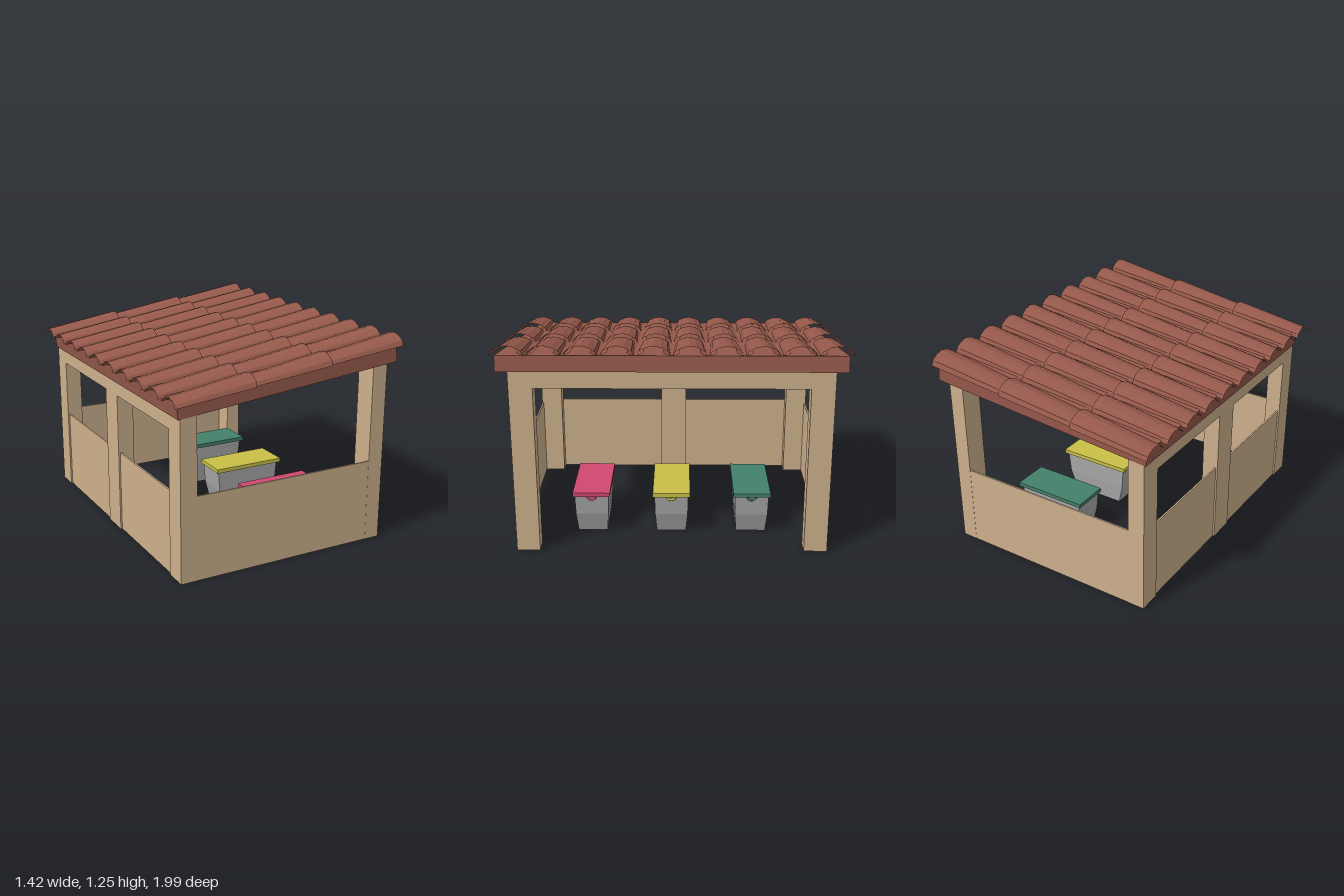
import * as THREE from 'three';

const mat = (name, color, side = THREE.FrontSide) => {
  const m = new THREE.MeshStandardMaterial({ color, side });
  m.name = name;
  return m;
};

// Roof lines: both rise towards +x
const underRoof = (x) => 0.935 + (x + 0.66) * 0.119;
const roofTop = (x) => 1.026 + (x + 0.67) * 0.119;

// Faceted skin over rings of equal length; optional caps and closed rings
function loft(rings, closed, caps) {
  const n = rings[0].length;
  const index = [];
  for (let r = 0; r < rings.length - 1; r++) {
    for (let i = 0; i < (closed ? n : n - 1); i++) {
      const a = r * n + i, b = r * n + (i + 1) % n;
      index.push(a, b, b + n, a, b + n, a + n);
    }
  }
  if (caps) {
    const last = (rings.length - 1) * n;
    for (let i = 1; i < n - 1; i++) {
      index.push(0, i + 1, i, last, last + i, last + i + 1);
    }
  }
  const g = new THREE.BufferGeometry();
  g.setAttribute('position', new THREE.Float32BufferAttribute(rings.flat(2), 3));
  g.setIndex(index);
  const flat = g.toNonIndexed();
  flat.computeVertexNormals();
  return flat;
}

// Horizontal rectangle ring, ordered so that stacked rings face outwards
const rect = (x0, x1, z0, z1, yAt) =>
  [[x0, z1], [x1, z1], [x1, z0], [x0, z0]].map(([x, z]) => [x, yAt(x), z]);

export function createModel() {
  const wood = mat('wood', 0xcdb08c);
  const clay = mat('roof clay', 0x96594b);
  const tileClay = clay.clone();
  tileClay.side = THREE.DoubleSide;
  const grey = mat('bin grey', 0xa8a8a8);
  const lids = [mat('lid pink', 0xd0496f), mat('lid yellow', 0xc9c048), mat('lid green', 0x43806a)];

  const model = new THREE.Group();
  model.name = 'binShelter';
  const add = (name, geometry, material, parent = model) => {
    const m = new THREE.Mesh(geometry, material);
    m.name = name;
    parent.add(m);
    return m;
  };
  const block = (name, x0, x1, z0, z1, y0, top) =>
    add(name, loft([rect(x0, x1, z0, z1, () => y0), rect(x0, x1, z0, z1, top)], true, true), wood);

  // Timber frame
  for (const s of [-1, 1]) {
    const [z0, z1] = s > 0 ? [0.77, 0.905] : [-0.905, -0.77];
    block('tallPost', 0.575, 0.67, z0, z1, 0, underRoof);
    block('shortPost', -0.65, -0.55, z0, z1, 0, underRoof);
    // Low panels at the sides and along the low edge
    const zw = s * 0.899;
    block('sidePanel', -0.55, 0.575, zw - 0.005, zw + 0.005, 0, () => 0.495);
    const [p0, p1] = s > 0 ? [0.085, 0.77] : [-0.77, -0.085];
    block('backPanel', -0.64, -0.63, p0, p1, 0, () => 0.495);
  }
  block('middlePost', -0.65, -0.55, -0.085, 0.085, 0, () => 0.85);
  block('lowBeam', -0.65, -0.55, -0.77, 0.77, 0.85, underRoof);
  block('highBeam', 0.575, 0.67, -0.77, 0.77, 0.995, underRoof);

  // Tapered roof slab
  const slabRing = (x0, x1, yAt) => [
    [x0, yAt(x0), 0.905], [x1, yAt(x1), 0.97], [x1, yAt(x1), -0.97], [x0, yAt(x0), -0.905],
  ];
  add('roofSlab', loft([slabRing(-0.66, 0.685, underRoof), slabRing(-0.67, 0.675, roofTop)], true, true), clay);

  // Arched cover tiles, wider and taller at their upper end
  const tileRing = (x, w, h) =>
    [[-1, 0], [-0.84, 0.48], [-0.43, 0.85], [0, 1], [0.43, 0.85], [0.84, 0.48], [1, 0]]
      .map(([z, y]) => [x + y * 0.007, roofTop(x) + y * h, -z * w]);
  const tile = loft([tileRing(-0.715, 0.081, 0.042), tileRing(-0.246, 0.096, 0.06)], false, false);
  // Shallow channel between two rows
  const channelRing = (x) =>
    [-1, -0.5, 0, 0.5, 1].map((z) => [x, roofTop(x) + 0.004 + 0.016 * z * z, -z * 0.045]);
  const channel = loft([channelRing(-0.675), channelRing(0.7)], false, false);

  const roof = new THREE.Group();
  roof.name = 'roofTiles';
  model.add(roof);
  for (let row = 0; row < 10; row++) {
    const z = -0.9 + row * 0.2;
    for (let col = 0; col < 3; col++) {
      const dx = col * 0.474;
      add('coverTile', tile, tileClay, roof).position.set(dx, dx * 0.119, z);
    }
    if (row < 9) add('channelTile', channel, tileClay, roof).position.z = z + 0.1;
  }

  // Three bins with coloured lids
  const body = loft([
    rect(0.06, 0.4, -0.088, 0.088, () => 0),
    rect(0.03, 0.438, -0.098, 0.098, () => 0.125),
    rect(0.02, 0.45, -0.101, 0.101, () => 0.25),
  ], true, true);
  const lidShape = new THREE.BoxGeometry(0.465, 0.025, 0.222);
  const handle = new THREE.TorusGeometry(0.024, 0.008, 6, 10, Math.PI);
  [0.483, 0.005, -0.476].forEach((z, i) => {
    const bin = new THREE.Group();
    bin.name = 'bin';
    bin.position.z = z;
    model.add(bin);
    add('binBody', body, grey, bin);
    add('binLid', lidShape, lids[i], bin).position.set(0.24, 0.2635, 0);
    const grip = add('binHandle', handle, lids[i], bin);
    grip.position.set(0.457, 0.252, 0);
    grip.rotation.set(Math.PI, Math.PI / 2, 0);
  });

  return model;
}
